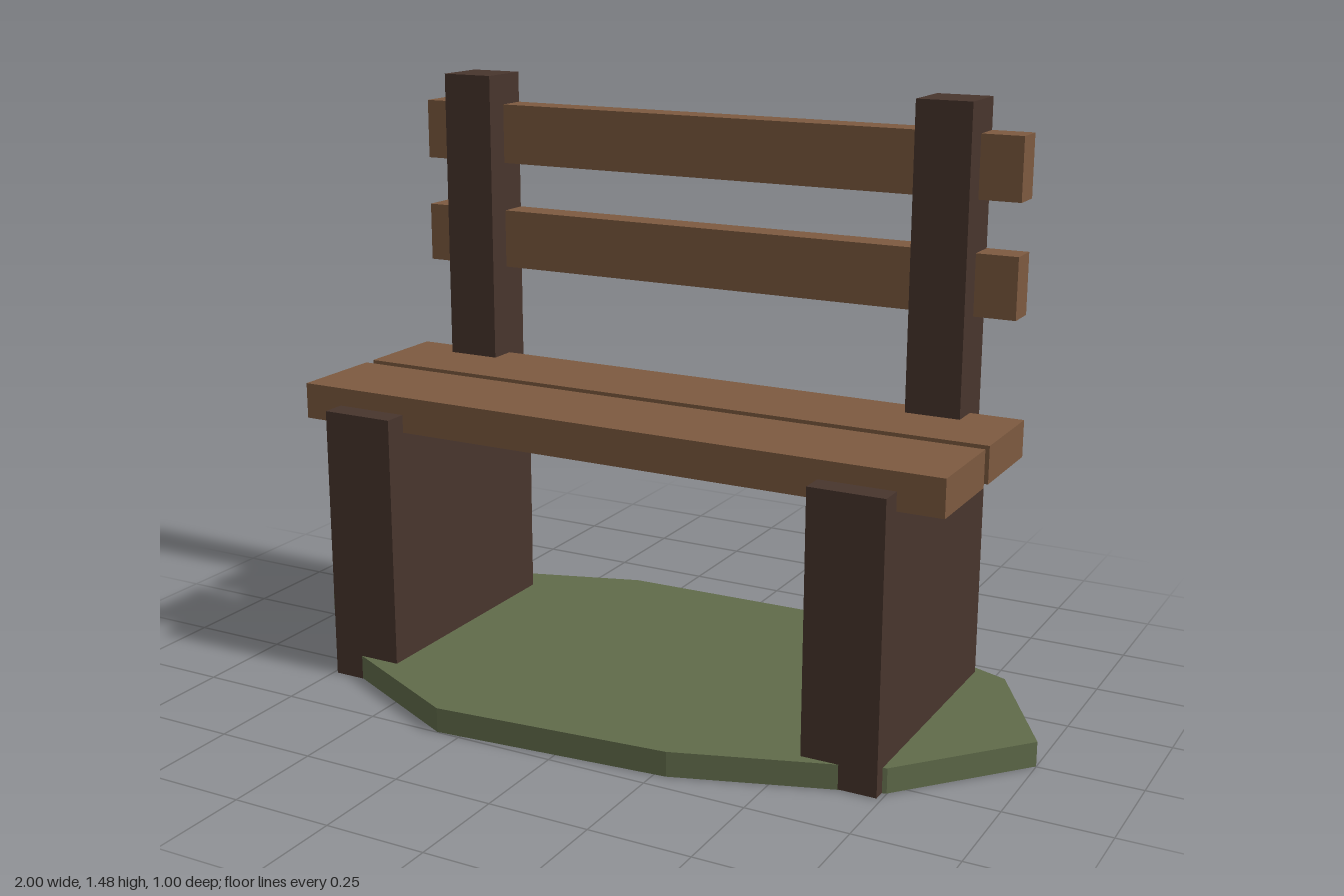
import * as THREE from 'three';

export function createModel() {
  const group = new THREE.Group();
  const material = (name, color) => {
    const m = new THREE.MeshStandardMaterial({ color });
    m.name = name;
    return m;
  };
  const plankWood = material('plank wood', 0x7d5a40);
  const darkWood = material('dark wood', 0x48352d);
  const grass = material('grass', 0x606b4a);

  // Box given by its limits on each axis
  function box(name, mat, [x0, x1], [y0, y1], [z0, z1]) {
    const mesh = new THREE.Mesh(new THREE.BoxGeometry(x1 - x0, y1 - y0, z1 - z0), mat);
    mesh.position.set((x0 + x1) / 2, (y0 + y1) / 2, (z0 + z1) / 2);
    mesh.name = name;
    group.add(mesh);
  }

  // Irregular ten-sided ground patch, outline as [x, z]
  const outline = [
    [-1, 0], [-0.73, 0.29], [-0.31, 0.5], [0.28, 0.45], [0.75, 0.29],
    [1, 0], [0.82, -0.31], [0.32, -0.505], [-0.31, -0.49], [-0.83, -0.32],
  ];
  const shape = new THREE.Shape(outline.map(([x, z]) => new THREE.Vector2(x, -z)));
  const groundGeometry = new THREE.ExtrudeGeometry(shape, { depth: 0.061, bevelEnabled: false });
  groundGeometry.rotateX(-Math.PI / 2);
  const ground = new THREE.Mesh(groundGeometry, grass);
  ground.position.y = 0.001;
  ground.name = 'ground';
  group.add(ground);

  // Slab legs, with a backrest post standing on each
  box('rightLeg', darkWood, [-0.74, -0.552], [0, 0.695], [-0.32, 0.325]);
  box('leftLeg', darkWood, [0.555, 0.74], [0.002, 0.695], [-0.32, 0.325]);
  box('rightPost', darkWood, [-0.713, -0.576], [0.68, 1.48], [-0.329, -0.19]);
  box('leftPost', darkWood, [0.58, 0.717], [0.68, 1.48], [-0.329, -0.19]);

  // Two seat planks with a narrow gap
  box('frontSeatPlank', plankWood, [-0.845, 0.85], [0.65, 0.74], [0.016, 0.265]);
  box('backSeatPlank', plankWood, [-0.845, 0.85], [0.65, 0.74], [-0.26, -0.014]);

  // Backrest slats set flush into the rear of the posts
  box('lowerBackSlat', plankWood, [-0.813, 0.82], [0.975, 1.125], [-0.33, -0.253]);
  box('upperBackSlat', plankWood, [-0.813, 0.82], [1.25, 1.402], [-0.33, -0.253]);

  return group;
}
